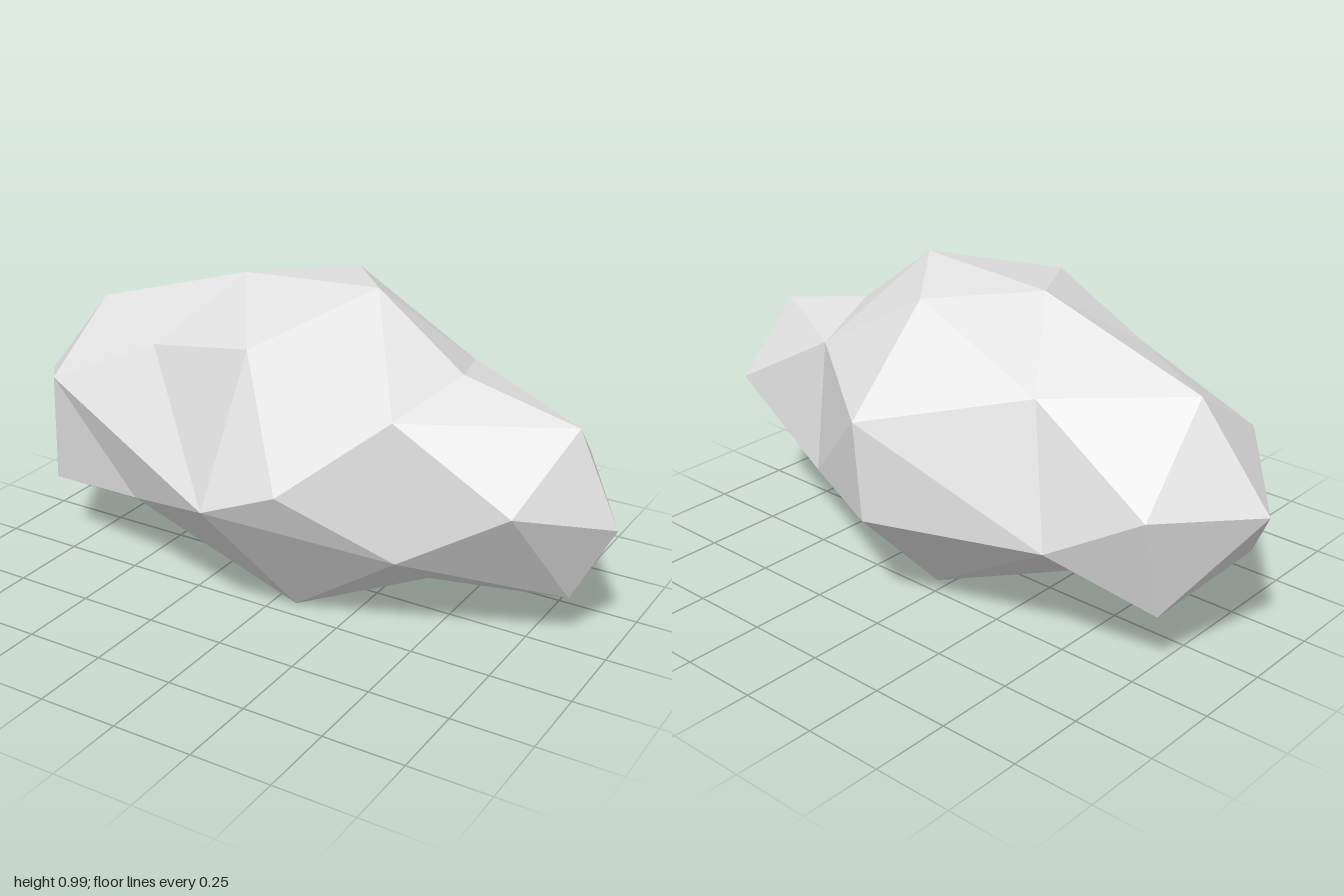
import * as THREE from 'three';

// Cross-section loops from the +x tip to the -x tip.
// Each loop runs from the top over the front (+z) to the bottom and back.
const tipA = [[1, 0.41, -0.01]];
const ring1 = [[0.87, 0.69, -0.01], [0.8, 0.51, 0.27], [0.87, 0.16, -0.01], [0.8, 0.507, -0.285]];
const ring2 = [
  [0.51, 0.775, -0.01], [0.43, 0.708, 0.266], [0.46, 0.29, 0.287],
  [0.43, 0.109, 0.01], [0.45, 0.29, -0.303], [0.42, 0.719, -0.275],
];
const ring3 = [
  [0.23, 0.986, -0.01], [0.03, 0.88, 0.375], [0.19, 0.513, 0.495],
  [-0.03, 0.43, 0.535], [0.07, 0.0, 0.186], [0.02, 0.017, -0.218],
  [0.02, 0.344, -0.527], [0.04, 0.65, -0.533], [0.02, 0.951, -0.27],
];
const shoulder = [-0.76, 0.605, 0.28]; // corner shared by the next two loops
const ring4 = [
  [-0.22, 0.96, -0.005], [-0.39, 0.775, 0.245], shoulder, [-0.42, 0.295, 0.33],
  [-0.33, 0.09, 0], [-0.52, 0.366, -0.37], [-0.41, 0.766, -0.275],
];
const ring5 = [[-0.77, 0.79, -0.01], shoulder, [-0.81, 0.235, 0.234], [-0.79, 0.2, -0.2], [-0.81, 0.535, -0.305]];
const tipB = [[-1, 0.5, 0]];

// Stitches two loops; each letter says which loop steps forward.
function band(out, a, b, steps) {
  let i = 0, j = 0;
  for (const s of steps) {
    const p = a[i % a.length], q = b[j % b.length];
    const r = s === 'a' ? a[++i % a.length] : b[++j % b.length];
    if (p !== q && q !== r && p !== r) out.push(...p, ...q, ...r);
  }
}

export function createModel() {
  const group = new THREE.Group();
  group.name = 'rock';

  const points = [];
  const [, upper, bump, lower] = ring3;
  const ring3Flat = ring3.filter((p) => p !== bump);
  band(points, tipA, ring1, 'bbbb');
  band(points, ring1, ring2, 'bababbabab');
  band(points, ring2, ring3, 'abbabbababbabba');
  points.push(...upper, ...lower, ...bump); // facet beside the front bump
  band(points, ring3Flat, ring4, 'ababbababaababa');
  band(points, ring4, ring5, 'aabbaabababa');
  band(points, ring5, tipB, 'aaaaa');

  const geometry = new THREE.BufferGeometry();
  geometry.setAttribute('position', new THREE.Float32BufferAttribute(points, 3));
  geometry.computeVertexNormals(); // unshared corners give flat facets

  const stone = new THREE.MeshStandardMaterial({ color: 0xe3e3e3 });
  stone.name = 'pale stone grey';
  stone.flatShading = true;
  const boulder = new THREE.Mesh(geometry, stone);
  boulder.name = 'boulder';
  group.add(boulder);
  return group;
}
